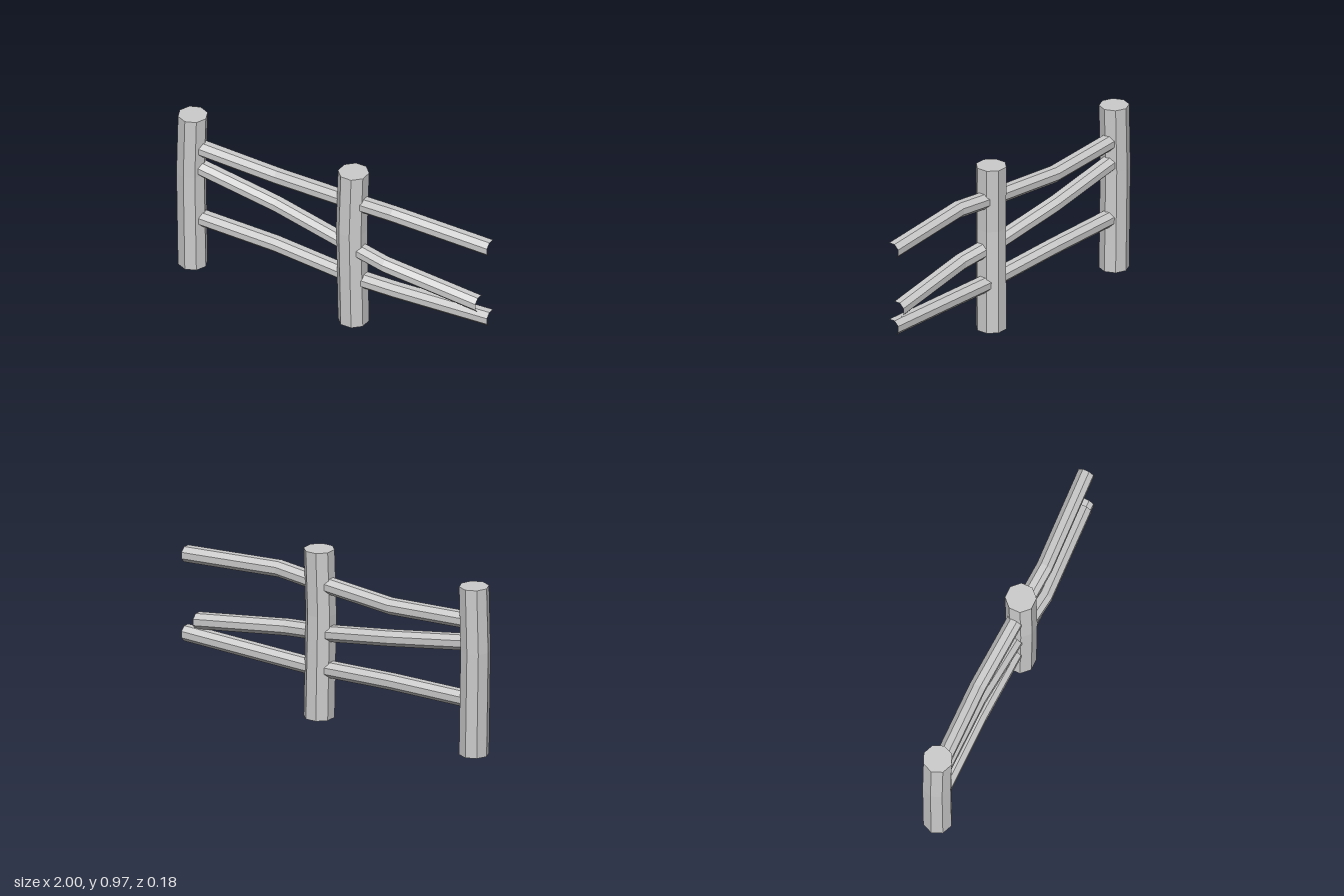
import * as THREE from 'three';

const SIDES = 8;

// Moves the rows of an upright eight-sided cylinder (unit height) onto the given centres.
// along = 'y' keeps the rows level (posts), along = 'x' turns them upright (rails).
function bentCylinder(radius, centres, phase, along, open) {
  const rows = centres.length - 1;
  const geometry = new THREE.CylinderGeometry(radius, radius, 1, SIDES, rows, open);
  geometry.rotateY(phase);
  const position = geometry.attributes.position;
  for (let i = 0; i < position.count; i++) {
    const px = position.getX(i), pz = position.getZ(i);
    const [cx, cy, cz] = centres[Math.round((position.getY(i) + 0.5) * rows)];
    if (along === 'y') position.setXYZ(i, cx + px, cy, cz + pz);
    else position.setXYZ(i, cx, cy - px, cz + pz);
  }
  geometry.computeVertexNormals();
  return geometry;
}

export function createModel() {
  const group = new THREE.Group();
  group.name = 'fence';

  const wood = new THREE.MeshStandardMaterial({ color: 0xcccccc, flatShading: true });
  wood.name = 'greyWood';

  const add = (name, geometry) => {
    const mesh = new THREE.Mesh(geometry, wood);
    mesh.name = name;
    group.add(mesh);
  };

  // Posts, each slightly bowed above the middle
  add('rightPost', bentCylinder(0.083,
    [[-0.907, 0, -0.008], [-0.917, 0.6, -0.008], [-0.907, 0.97, -0.008]], 0, 'y', false));
  add('leftPost', bentCylinder(0.086,
    [[0.129, 0, 0.005], [0.122, 0.6, 0.013], [0.129, 0.97, 0.005]], Math.PI / 8, 'y', false));

  // Rails: open tubes, a bay between the posts and a loose bay past the second post
  const rails = {
    topRail: [
      [[-0.9, 0.768, -0.012], [-0.37, 0.747, -0.022], [0.12, 0.774, 0.006]],
      [[0.13, 0.775, 0.003], [0.4, 0.795, 0.02], [1, 0.768, -0.011]],
    ],
    middleRail: [
      [[-0.9, 0.645, -0.012], [-0.37, 0.563, -0.02], [0.12, 0.484, 0.01]],
      [[0.13, 0.486, 0.015], [0.36, 0.459, 0.038], [0.935, 0.39, 0.005]],
    ],
    bottomRail: [
      [[-0.9, 0.311, -0.012], [-0.37, 0.308, -0.012], [0.12, 0.285, 0.004]],
      [[0.13, 0.281, 0.002], [0.4, 0.288, 0.002], [1, 0.311, -0.011]],
    ],
  };
  for (const [name, bays] of Object.entries(rails)) {
    bays.forEach((path, i) => {
      add(name + (i ? 'LooseEnd' : 'Span'), bentCylinder(0.048, path, Math.PI / 8, 'x', true));
    });
  }

  return group;
}
